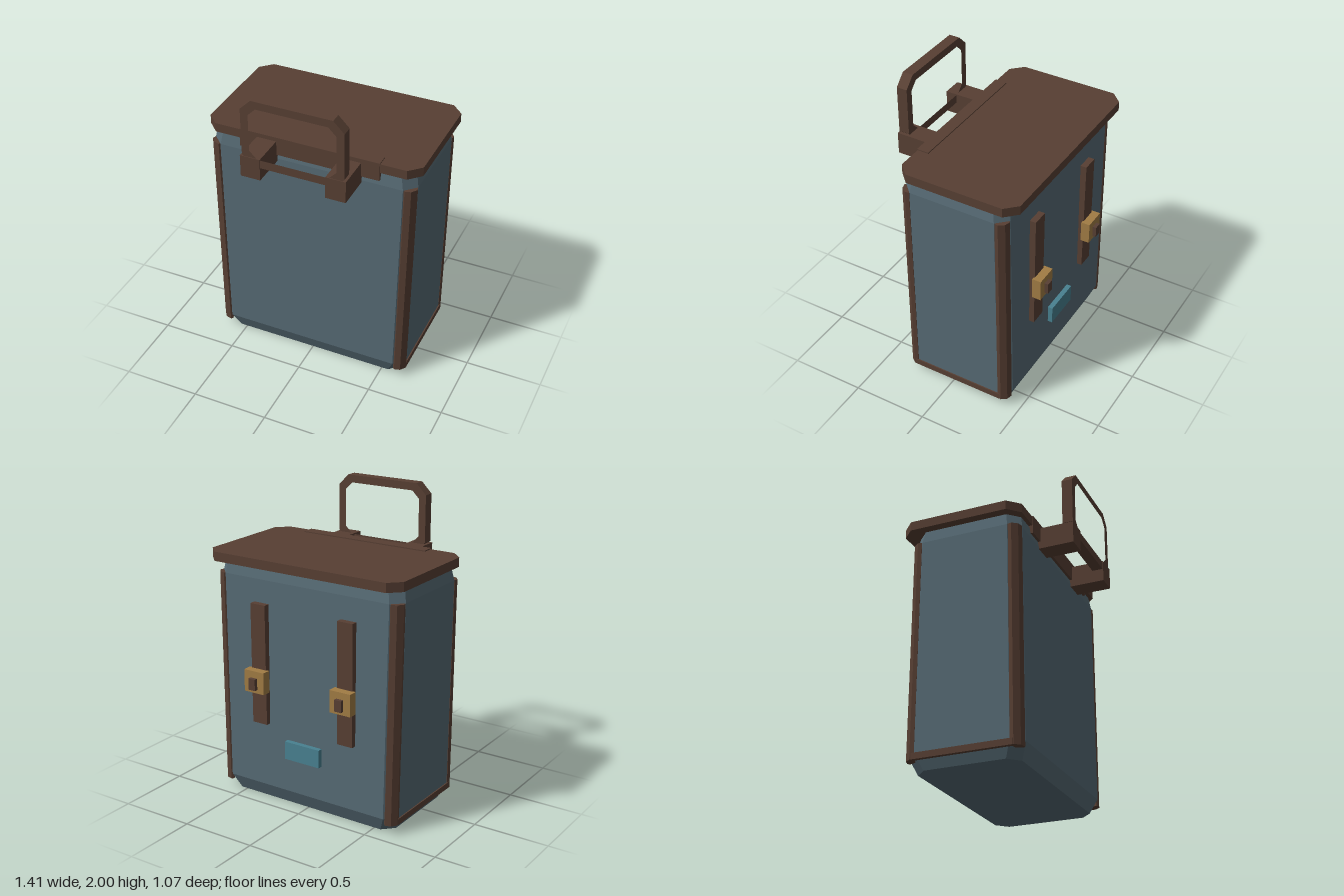
import * as THREE from 'three';

const mat = (name, color) => {
  const m = new THREE.MeshStandardMaterial({ color });
  m.name = name;
  return m;
};

// Skin stacked rings of [x, z] points (running from +z towards +x), with closed ends
function loft(rings) {
  const pos = [];
  const n = rings[0].pts.length;
  const put = (r, i) => pos.push(r.pts[i % n][0], r.y, r.pts[i % n][1]);
  for (let k = 0; k < rings.length - 1; k++) {
    const a = rings[k], b = rings[k + 1];
    for (let i = 0; i < n; i++) {
      put(a, i); put(a, i + 1); put(b, i + 1);
      put(a, i); put(b, i + 1); put(b, i);
    }
  }
  const low = rings[0], top = rings[rings.length - 1];
  for (let i = 1; i < n - 1; i++) {
    put(top, 0); put(top, i); put(top, i + 1);
    put(low, 0); put(low, i + 1); put(low, i);
  }
  const g = new THREE.BufferGeometry();
  g.setAttribute('position', new THREE.Float32BufferAttribute(pos, 3));
  g.computeVertexNormals();
  return g;
}

// Rectangle with cut corners, as an [x, z] ring
const cutRect = (hx, z0, z1, c) => [
  [-hx + c, z1], [hx - c, z1], [hx, z1 - c], [hx, z0 + c],
  [hx - c, z0], [-hx + c, z0], [-hx, z0 + c], [-hx, z1 - c],
];

// Same outline drawn in the xy plane, for extruding
const cutShape = (Type, hx, y0, y1, c) =>
  new Type(cutRect(hx, y0, y1, c).map(([x, y]) => new THREE.Vector2(x, y)));

export function createModel() {
  const group = new THREE.Group();
  const canvas = mat('blue grey canvas', 0x566a74);
  const leather = mat('brown leather', 0x573f33);
  const brass = mat('brass', 0xa17c44);
  const teal = mat('teal label', 0x488190);

  const add = (name, geo, material) => {
    const mesh = new THREE.Mesh(geo, material);
    mesh.name = name;
    group.add(mesh);
    return mesh;
  };
  // Box given by its limits on each axis
  const box = (name, material, [x0, x1], [y0, y1], [z0, z1]) => {
    const mesh = add(name, new THREE.BoxGeometry(x1 - x0, y1 - y0, z1 - z0), material);
    mesh.position.set((x0 + x1) / 2, (y0 + y1) / 2, (z0 + z1) / 2);
  };

  // Bag body, bevelled at the top and bottom
  add('body', loft([
    { y: 0, pts: cutRect(0.615, -0.385, 0.275, 0.07) },
    { y: 0.1, pts: cutRect(0.658, -0.428, 0.315, 0.07) },
    { y: 1.48, pts: cutRect(0.675, -0.414, 0.303, 0.07) },
    { y: 1.56, pts: cutRect(0.66, -0.4, 0.29, 0.07) },
  ]), canvas);

  // Leather binding down each upright corner: insets from the corner in x and z
  const profile = [[0.06, 0.055], [0.076, 0.012], [0.064, 0], [0.026, 0.01],
    [0, 0.045], [0.006, 0.07]];
  for (const sx of [-1, 1]) for (const sz of [-1, 1]) {
    const ring = (y, hx, hz) => {
      const pts = profile.map(([ix, iz]) => [sx * (hx - ix), sz * (hz - iz) - 0.055]);
      return { y, pts: sx * sz > 0 ? pts : pts.reverse() };
    };
    add('cornerBinding', loft([ring(0.06, 0.666, 0.372), ring(1.48, 0.681, 0.362)]), leather);
  }

  // Lid, overhanging at the back
  const lid = cutRect(0.703, -0.49, 0.31, 0.075);
  add('lid', loft([{ y: 1.57, pts: lid }, { y: 1.63, pts: lid }]), leather);
  box('hingePlate', leather, [-0.46, 0.46], [1.515, 1.637], [0.235, 0.315]);

  // Carrying handle
  const loop = cutShape(THREE.Shape, 0.33, 1.55, 2, 0.07);
  loop.holes.push(cutShape(THREE.Path, 0.28, 1.605, 1.95, 0.05));
  const handle = new THREE.ExtrudeGeometry(loop, { depth: 0.07, bevelEnabled: false });
  add('handle', handle.translate(0, 0, 0.46), leather);

  for (const s of [-1, 1]) {
    const span = (mid, w) => [s * mid - w / 2, s * mid + w / 2];
    box('handleBracket', leather, span(0.277, 0.13), [1.465, 1.61], [0.28, 0.535]);
    box('baseBinding', leather, span(0.653, 0.026), [0.06, 0.1], [-0.375, 0.265]);
    // Strap with its buckle and pin
    box('strap', leather, span(0.325, 0.11), [0.535, 1.33], [-0.457, -0.4]);
    box('buckle', brass, span(0.325, 0.15), [0.76, 0.905], [-0.51, -0.45]);
    box('bucklePin', leather, span(0.325, 0.05), [0.785, 0.86], [-0.535, -0.505]);
  }
  box('label', teal, [-0.13, 0.13], [0.335, 0.455], [-0.457, -0.41]);

  return group;
}
